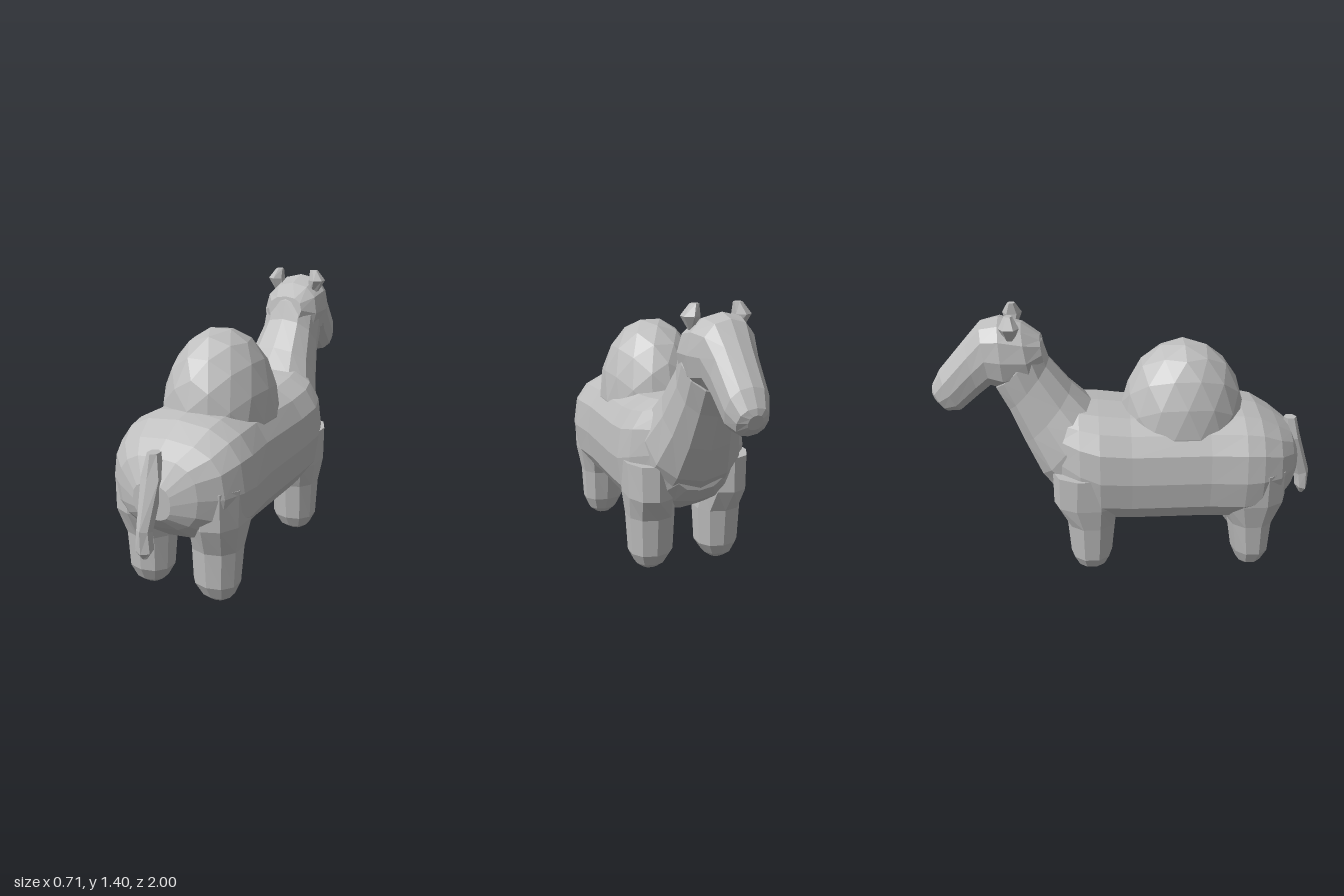
import * as THREE from 'three';

const grey = new THREE.MeshStandardMaterial({ color: 0xbdbdbd, flatShading: true });
grey.name = 'plain grey';

// Skin over rings. Each ring is [zA, yA, zB, yB, halfWidth, x]: A and B are its
// two ends in the side plane; power above 2 makes the section boxier.
function loft(name, rings, sides, power = 2) {
  const pos = [], index = [];
  const round = v => Math.sign(v) * Math.pow(Math.abs(v), 2 / power);
  for (const [za, ya, zb, yb, w, x = 0] of rings) {
    for (let i = 0; i < sides; i++) {
      const t = (i / sides) * Math.PI * 2;
      const c = round(Math.cos(t)), s = round(Math.sin(t));
      pos.push(x + w * s, (ya + yb) / 2 + c * (ya - yb) / 2, (za + zb) / 2 + c * (za - zb) / 2);
    }
  }
  const last = rings.length - 1;
  for (let r = 0; r < last; r++) {
    for (let i = 0; i < sides; i++) {
      const j = (i + 1) % sides, a = r * sides, b = a + sides;
      index.push(a + i, b + i, a + j, a + j, b + i, b + j);
    }
  }
  // end caps
  for (let i = 1; i < sides - 1; i++) {
    const b = last * sides;
    index.push(0, i, i + 1, b, b + i + 1, b + i);
  }
  // turn the faces outward if the rings run the other way
  const p = k => new THREE.Vector3().fromArray(pos, k * 3);
  let volume = 0;
  for (let k = 0; k < index.length; k += 3) {
    volume += p(index[k]).dot(p(index[k + 1]).cross(p(index[k + 2])));
  }
  if (volume < 0) index.reverse();
  const g = new THREE.BufferGeometry();
  g.setAttribute('position', new THREE.Float32BufferAttribute(pos, 3));
  g.setIndex(index);
  g.computeVertexNormals();
  const mesh = new THREE.Mesh(g, grey);
  mesh.name = name;
  return mesh;
}

export function createModel() {
  const model = new THREE.Group();
  model.name = 'camel';

  // barrel of the body, rump to chest
  const bodyRings = [
    [0.90, 0.47, 0.64, 0.10], [0.85, 0.41, 0.75, 0.21], [0.77, 0.34, 0.81, 0.30],
    [0.67, 0.29, 0.87, 0.345], [0.58, 0.27, 0.89, 0.357], [0.40, 0.27, 0.89, 0.338],
    [0.00, 0.27, 0.89, 0.335], [-0.16, 0.28, 0.91, 0.34], [-0.26, 0.33, 0.92, 0.31],
    [-0.36, 0.39, 0.92, 0.23], [-0.43, 0.47, 0.88, 0.15],
  ].map(([z, low, high, w]) => [z, high, z, low, w]);
  model.add(loft('body', bodyRings, 16, 2.6));

  // hump
  const hump = new THREE.Mesh(new THREE.IcosahedronGeometry(1, 2), grey);
  hump.name = 'hump';
  hump.scale.set(0.28, 0.43, 0.325);
  hump.position.set(0, 0.8, 0.28);
  model.add(hump);

  // neck, leaning forward
  model.add(loft('neck', [
    [-0.06, 0.85, -0.36, 0.40, 0.27], [-0.19, 0.91, -0.47, 0.53, 0.25],
    [-0.29, 1.01, -0.55, 0.71, 0.195], [-0.40, 1.15, -0.62, 0.89, 0.16],
    [-0.43, 1.25, -0.68, 1.01, 0.155], [-0.50, 1.30, -0.68, 1.06, 0.12],
  ], 12, 2.2));

  // head, back of the skull to muzzle
  model.add(loft('head', [
    [-0.44, 1.27, -0.42, 1.13, 0.10], [-0.53, 1.335, -0.48, 1.02, 0.158],
    [-0.64, 1.37, -0.62, 1.00, 0.165], [-0.73, 1.35, -0.69, 1.02, 0.135],
    [-0.81, 1.26, -0.75, 0.97, 0.115], [-0.95, 1.10, -0.85, 0.885, 0.102],
    [-0.995, 1.02, -0.92, 0.88, 0.075], [-1.0, 0.99, -0.97, 0.92, 0.035],
  ], 12, 2.3));

  // tail
  model.add(loft('tail', [
    [0.90, 0.78, 0.83, 0.78, 0.03], [0.93, 0.67, 0.84, 0.66, 0.055],
    [1.00, 0.45, 0.92, 0.43, 0.035], [1.00, 0.34, 0.93, 0.36, 0.045],
    [0.98, 0.31, 0.96, 0.31, 0.015],
  ], 6));

  // rows: height, front z, rear z, half width, x
  const hindLeg = [
    [0.60, 0.45, 0.82, 0.15, 0.19], [0.42, 0.46, 0.82, 0.135, 0.20],
    [0.28, 0.52, 0.765, 0.125, 0.185], [0.10, 0.55, 0.755, 0.115, 0.185],
    [0.03, 0.58, 0.72, 0.08, 0.19], [0.00, 0.61, 0.68, 0.04, 0.19],
  ];
  const foreLeg = [
    [0.60, -0.40, -0.02, 0.13, 0.20], [0.42, -0.40, -0.04, 0.125, 0.20],
    [0.30, -0.335, -0.08, 0.125, 0.185], [0.10, -0.32, -0.10, 0.115, 0.185],
    [0.04, -0.29, -0.13, 0.08, 0.19], [0.01, -0.25, -0.18, 0.04, 0.19],
  ];
  for (const side of [1, -1]) {
    const label = side > 0 ? 'Right' : 'Left';
    const leg = rows => rows.map(([y, f, b, w, x]) => [f, y, b, y, w, side * x]);
    model.add(loft('hindLeg' + label, leg(hindLeg), 10, 2.2));
    model.add(loft('foreLeg' + label, leg(foreLeg), 10, 2.2));
    // ears, tilted outward
    model.add(loft('ear' + label, leg([
      [1.28, -0.60, -0.56, 0.03, 0.10], [1.35, -0.63, -0.53, 0.045, 0.125],
      [1.405, -0.60, -0.56, 0.022, 0.105],
    ]), 6));
  }
  return model;
}
